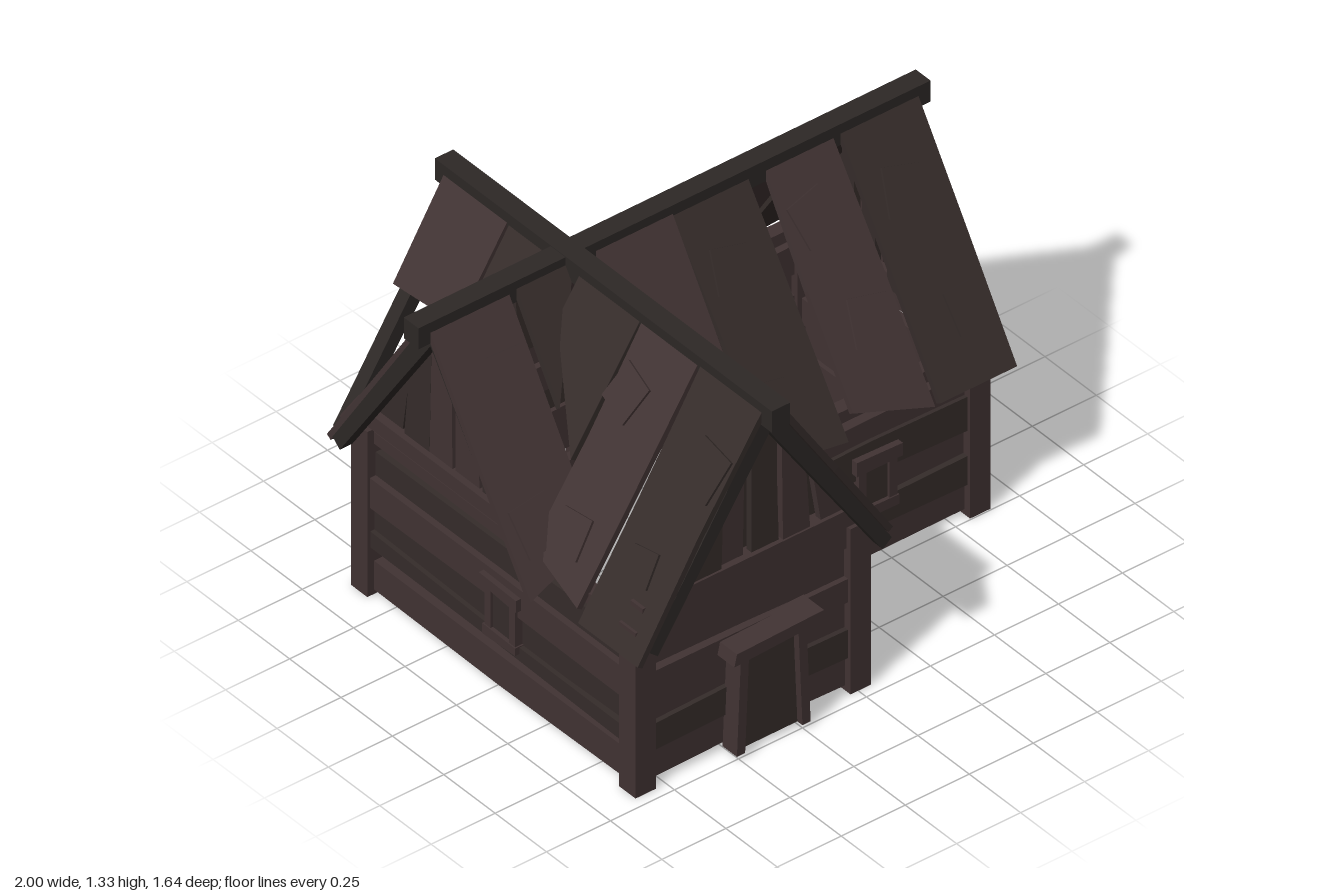
import * as THREE from 'three';

const V = (x, y, z) => new THREE.Vector3(x, y, z);
const LIGHT = 0x413333, DARK = 0x352c2a, BEAM = 0x2d2826;
const CX = -0.39, CZ = -0.22;          // ridge lines of the cross wing and the main wing
const TOP = 1.35, SLOPE = 1.54;        // roof surface: y = TOP - SLOPE * distance from ridge
const XL = -0.83, XM = 0.01, XR = 0.85, ZF = 0.67, ZM = 0.205, ZB = -0.635;

const materials = {};
const mat = (color) => (materials[color] ??= new THREE.MeshStandardMaterial({ color, flatShading: true }));

export function createModel() {
  const house = new THREE.Group();
  house.name = 'timberHouse';
  let seed = 7;
  const rnd = (s = 1) => {
    seed = (seed * 16807) % 2147483647;
    return (seed / 2147483647 * 2 - 1) * s;
  };
  const wood = () => (rnd() > -0.3 ? LIGHT : DARK);

  // Board from four face corners, thickened along n; its middle may warp
  function slab(parent, name, color, [a, b, c, d], n, warp = 0) {
    const geo = new THREE.BoxGeometry(1, 1, 1, warp ? 2 : 1, 1, 1);
    const side = d.clone().sub(a).normalize();
    const bow = [rnd(warp), rnd(warp)];
    const p = geo.attributes.position;
    for (let i = 0; i < p.count; i++) {
      const u = p.getX(i) + 0.5, v = p.getY(i) + 0.5, w = p.getZ(i) + 0.5;
      const q = a.clone().lerp(b, u).lerp(d.clone().lerp(c, u), v).addScaledVector(n, w);
      if (u > 0.4 && u < 0.6) q.addScaledVector(side, bow[v > 0.5 ? 1 : 0]);
      p.setXYZ(i, q.x, q.y, q.z);
    }
    // keep faces outward when the corners run the mirrored way
    if (b.clone().sub(a).cross(d.clone().sub(a)).dot(n) < 0) geo.index.array.reverse();
    geo.computeVertexNormals();
    const mesh = new THREE.Mesh(geo, mat(color));
    mesh.name = name;
    parent.add(mesh);
  }
  const group = (name) => {
    const g = new THREE.Group();
    g.name = name;
    house.add(g);
    return g;
  };
  function box(parent, name, color, x0, x1, y0, y1, z0, z1) {
    slab(parent, name, color, [V(x0, y0, z0), V(x1, y0, z0), V(x1, y1, z0), V(x0, y1, z0)], V(0, 0, z1 - z0));
  }
  // Point in a wall plane running along x or z
  const P = (axis, u, y, off) => (axis === 'x' ? V(u, y, off) : V(off, y, u));
  const out = (axis, s) => (axis === 'x' ? V(0, 0, s) : V(s, 0, 0));
  // Upright board in a wall plane with corner jitter
  function panel(parent, name, color, axis, off, t, u0, u1, y0, y1, j = 0, warp = 0) {
    slab(parent, name, color, [P(axis, u0, y0 + rnd(j), off), P(axis, u1, y0 + rnd(j), off),
      P(axis, u1, y1 + rnd(j), off), P(axis, u0, y1 + rnd(j), off)], out(axis, t), warp);
  }

  // Corner posts
  const posts = group('posts');
  for (const [x, z] of [[XL, ZF], [XM, ZF], [XM, ZM], [XR, ZM], [XR, ZB], [XM, ZB], [XL, ZB]])
    box(posts, 'post', LIGHT, x - 0.04, x + 0.04, 0, 0.63, z - 0.04, z + 0.04);

  // Walls of uneven horizontal planks, alternately set in and out; gable walls carry a higher rail
  const rows = [[0.02, 0.13], [0.125, 0.235], [0.23, 0.34], [0.335, 0.445], [0.44, 0.545]];
  function wall(name, axis, off, u0, u1, gable, missing = 0) {
    const g = group(name), s = Math.sign(off - 0.001);
    rows.forEach(([y0, y1], i) => {
      const low = i === 1 ? missing : 0, step = i % 2 ? 0.009 : -0.007;
      panel(g, 'wallPlank', wood(), axis, off + (step - 0.018 + rnd(0.004)) * s, 0.036 * s,
        u0, u1, y0 + low, y1, i ? 0.013 : 0.003, 0.012);
    });
    if (gable) {
      panel(g, 'upperPlank', wood(), axis, off - 0.01 * s, 0.03 * s, u0, u1, 0.548, 0.64, 0.008, 0.006);
      panel(g, 'topRail', LIGHT, axis, off - 0.035 * s, 0.06 * s, u0, u1, 0.63, 0.695);
    } else {
      panel(g, 'topRail', LIGHT, axis, off - 0.035 * s, 0.05 * s, u0, u1, 0.575, 0.62);
    }
  }
  wall('frontWall', 'x', ZF, XL, XM, true);
  wall('frontRightWall', 'x', ZM, XM, XR, false);
  wall('porchSideWall', 'z', XM, ZM, ZF, false);
  wall('rightWall', 'z', XR, ZB, ZM, true);
  wall('backWallOpenSide', 'x', ZB, XM, XR, false);
  wall('backWallGable', 'x', ZB, XL, XM, true, 0.04);
  wall('leftWall', 'z', XL, ZB, ZF, false, 0.05);
  panel(house, 'leftGableRail', LIGHT, 'z', XL + 0.03, -0.06, ZB, ZM, 0.64, 0.695);

  // Gables: boards leaning towards the apex, narrow ones behind, and two sloping beams outside
  const roofY = (d) => TOP - SLOPE * d;
  function gable(name, axis, c, off, beamOff) {
    const g = group(name), s = Math.sign(off);
    const board = (u0, u1, lean, depth, color) => {
      const [t0, t1] = [u0 * 0.85, u1 * 0.85], o = off - s * depth;
      slab(g, 'gableBoard', color, [P(axis, c + u0 + lean, 0.66, o), P(axis, c + u1 + lean, 0.66, o),
        P(axis, c + t1, roofY(Math.abs(t1)) - 0.06, o), P(axis, c + t0, roofY(Math.abs(t0)) - 0.06, o)],
      out(axis, 0.025 * s));
    };
    for (let i = -3; i < 3; i++) {
      const u0 = i * 0.128 + 0.005 + rnd(0.01);
      board(u0, u0 + 0.117 + rnd(0.01), rnd(0.015), 0.015 + rnd(0.01), wood());
    }
    for (let i = -1; i < 3; i++) board(i * 0.128 - 0.04, i * 0.128 + 0.03, rnd(0.02), 0.052, DARK);
    for (const m of [-1, 1]) {
      const end = 0.48 + rnd(0.01), y = roofY(end) - 0.037;
      slab(g, 'gableBeam', BEAM, [P(axis, c, TOP - 0.145, beamOff), P(axis, c + m * (end - 0.035), y - 0.03, beamOff),
        P(axis, c + m * end, y, beamOff), P(axis, c, TOP - 0.037, beamOff)], out(axis, -0.05 * s));
    }
  }
  gable('frontGable', 'x', CX, ZF, 0.765);
  gable('backGable', 'x', CX, ZB, -0.755);
  gable('rightGable', 'z', CZ, XR, 0.935);
  gable('leftGable', 'z', CZ, XL, -0.925);

  // Roof planks: [start, end, reach at start, reach at end]; short reaches follow the valleys
  const R = (axis, side, a, d, lift = 0) => (axis === 'x'
    ? V(a, roofY(d) + lift, CZ + side * d) : V(CX + side * d, roofY(d) + lift, a));
  const normal = (axis, side, t) => {
    const k = t / Math.hypot(1, SLOPE);
    return axis === 'x' ? V(0, k, side * SLOPE * k) : V(side * SLOPE * k, k, 0);
  };
  function roof(name, axis, side, planks) {
    const g = group(name);
    planks.forEach(([a0, a1, d0, d1], i) => {
      const lift = rnd(0.005), full = Math.min(d0, d1) > 0.38, color = i % 2 ? LIGHT : DARK;
      slab(g, 'roofPlank', color,
        [R(axis, side, a0, d0, lift), R(axis, side, a0 + rnd(0.012), 0.034, lift),
          R(axis, side, a1 + rnd(0.012), 0.034, lift), R(axis, side, a1, d1, lift)],
        normal(axis, side, -0.022), full ? 0.012 : 0);
      // loose shingles patched onto the plank
      for (const base of full ? [0.16, 0.38] : []) {
        const am = (a0 + a1) / 2 + rnd(0.06), dm = base + rnd(0.04), turn = rnd(0.3), h = 0.062 + rnd(0.012);
        const corners = [[-1, -1], [1, -1], [1, 1], [-1, 1]].map(([p, q]) => R(axis, side,
          am + h * (p * Math.cos(turn) - q * Math.sin(turn)),
          dm + h * 0.6 * (p * Math.sin(turn) + q * Math.cos(turn)), lift));
        slab(g, 'shingle', color, corners, normal(axis, side, 0.009));
      }
    });
  }
  roof('mainRoofFront', 'x', 1, [[0.65, 0.95, 0.52, 0.52], [0.35, 0.63, 0.47, 0.52], [0, 0.3, 0.49, 0.51],
    [-0.31, -0.01, 0.12, 0.39], [-0.62, -0.42, 0.25, 0.06], [-0.95, -0.65, 0.52, 0.47]]);
  roof('mainRoofBack', 'x', -1, [[0.66, 0.95, 0.5, 0.47], [0.35, 0.63, 0.56, 0.53], [0, 0.31, 0.53, 0.52],
    [-0.31, -0.01, 0.12, 0.39], [-0.62, -0.42, 0.25, 0.06], [-0.92, -0.65, 0.51, 0.53]]);
  roof('crossRoofRight', 'z', 1, [[0.48, 0.78, 0.5, 0.47], [0.17, 0.47, 0.52, 0.52],
    [-0.46, -0.3, 0.26, 0.1], [-0.77, -0.47, 0.52, 0.39], [-0.12, 0.16, 0.13, 0.4]]);
  roof('crossRoofLeft', 'z', -1, [[0.48, 0.77, 0.52, 0.52], [0.18, 0.45, 0.46, 0.5],
    [-0.46, -0.3, 0.26, 0.1], [-0.77, -0.47, 0.24, 0.23], [-0.12, 0.17, 0.12, 0.3]]);

  // Ridge beams
  box(house, 'mainRidgeBeam', BEAM, -1, 1, 1.25, 1.33, CZ - 0.036, CZ + 0.036);
  box(house, 'crossRidgeBeam', BEAM, CX - 0.036, CX + 0.036, 1.252, 1.333, -0.82, 0.82);

  // Door with jambs and a crooked lintel
  const door = group('door');
  panel(door, 'doorPanel', DARK, 'x', 0.68, 0.055, -0.49, -0.25, 0.02, 0.4);
  for (const [u, lean] of [[-0.49, -0.008], [-0.25, 0.008]])
    slab(door, 'doorJamb', LIGHT, [V(u - 0.016 + lean, 0.02, 0.69), V(u + 0.016 + lean, 0.02, 0.69),
      V(u + 0.016 - lean, 0.4, 0.69), V(u - 0.016 - lean, 0.4, 0.69)], V(0, 0, 0.07));
  slab(door, 'doorLintel', LIGHT, [V(-0.54, 0.385, 0.68), V(-0.2, 0.4, 0.68), V(-0.19, 0.44, 0.68),
    V(-0.53, 0.43, 0.68)], V(0, 0, 0.1));

  // Framed windows
  function windowFrame(name, axis, off, c) {
    const g = group(name), s = Math.sign(off), o = off - 0.005 * s;
    panel(g, 'shutter', DARK, axis, o, 0.036 * s, c - 0.06, c + 0.06, 0.22, 0.4);
    for (const m of [-1, 1])
      panel(g, 'windowStile', LIGHT, axis, o, 0.046 * s, c + m * 0.06 - 0.015, c + m * 0.06 + 0.015, 0.21, 0.4);
    panel(g, 'windowLintel', LIGHT, axis, o, 0.055 * s, c - 0.09, c + 0.09, 0.385, 0.42, 0.01);
    panel(g, 'windowSill', LIGHT, axis, o, 0.05 * s, c - 0.08, c + 0.08, 0.2, 0.23, 0.008);
  }
  windowFrame('frontWindow', 'x', ZM, 0.45);
  windowFrame('backWindow', 'x', ZB, 0.45);
  windowFrame('leftWindow', 'z', XL, 0.05);

  return house;
}
